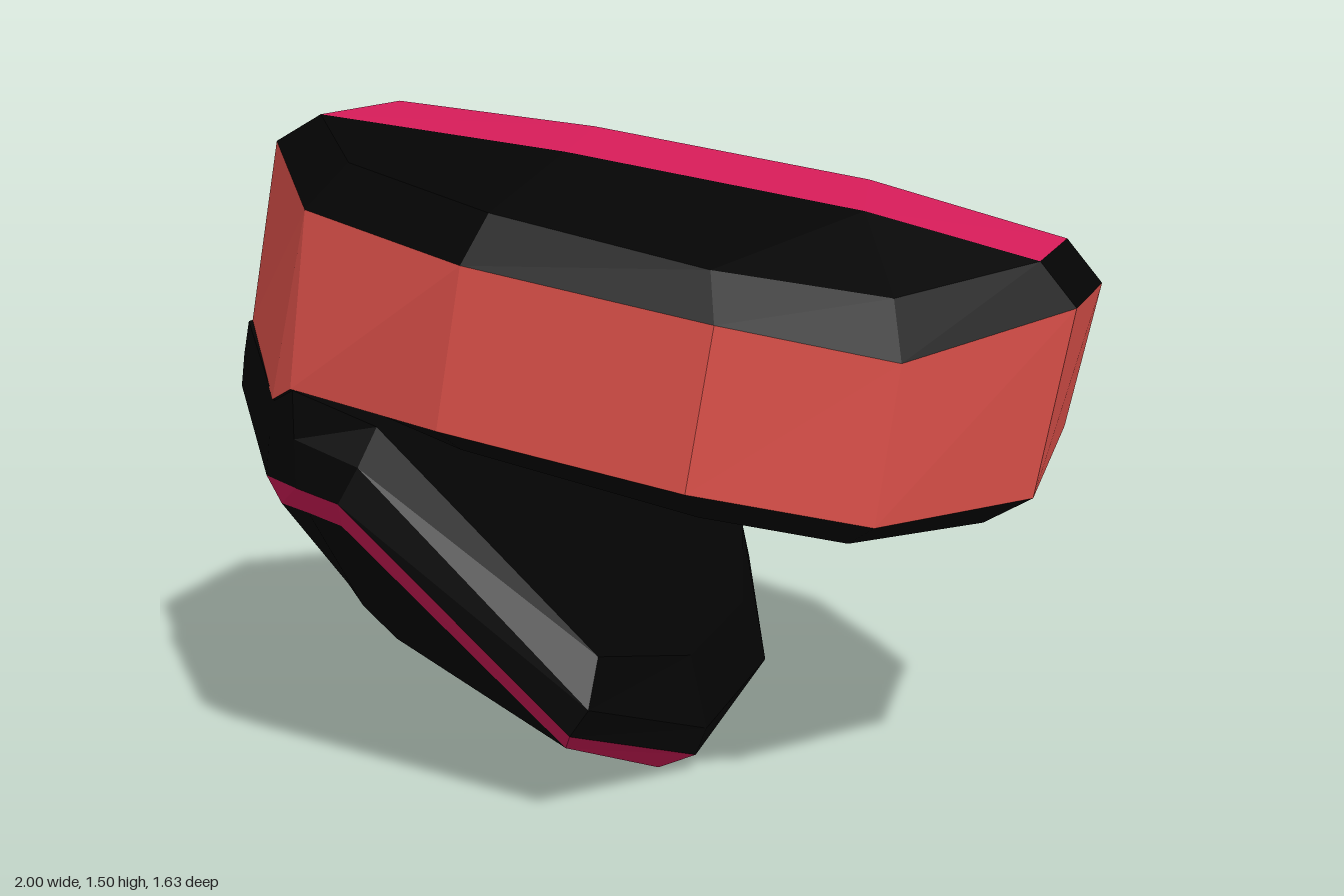
import * as THREE from 'three';

const material = (name, color) =>
  new THREE.MeshStandardMaterial({ name, color, flatShading: true });

// Close a half outline (left to right, z positive) by mirroring it in z.
const mirrorZ = (half) => half.map(([x, y, z]) => [x, y, -z]);
const ring = (half, back = mirrorZ(half)) => [...half, ...[...back].reverse()];

// Quads between two outlines, a below b, running anticlockwise seen from above.
function strip(a, b, closed = true) {
  const quads = [];
  const n = closed ? a.length : a.length - 1;
  for (let i = 0; i < n; i++) {
    const j = (i + 1) % a.length;
    quads.push([a[i], a[j], b[j], b[i]]);
  }
  return quads;
}

// Flat-shaded mesh from quads, dropping collapsed triangles.
function facets(name, mat, quads) {
  const pos = [];
  for (const q of quads) {
    for (const ids of [[0, 1, 2], [0, 2, 3]]) {
      const t = new THREE.Triangle(...ids.map((k) => new THREE.Vector3(...q[k])));
      if (t.getArea() > 1e-6) ids.forEach((k) => pos.push(...q[k]));
    }
  }
  const geo = new THREE.BufferGeometry();
  geo.setAttribute('position', new THREE.Float32BufferAttribute(pos, 3));
  geo.computeVertexNormals();
  const mesh = new THREE.Mesh(geo, mat);
  mesh.name = name;
  return mesh;
}

export function createModel() {
  const black = material('black', 0x040404);
  const coral = material('coral', 0xe2534c);
  const pink = material('pink', 0xd41c58);
  const model = new THREE.Group();
  model.name = 'hingedDisc';

  // Tilted upper disc, its back half slightly uneven
  const upper = ring(
    [[-0.89, 1.43, 0.23], [-0.65, 1.31, 0.59], [-0.65, 1.31, 0.59], [-0.2, 1.23, 0.81],
      [0.34, 1.13, 0.81], [0.68, 1.035, 0.6], [0.99, 1.11, 0.23]],
    [[-0.89, 1.43, -0.27], [-0.64, 1.315, -0.61], [-0.64, 1.315, -0.61], [-0.18, 1.22, -0.82],
      [0.38, 1.12, -0.81], [0.71, 1.03, -0.59], [1, 1.11, -0.2]]);
  const lower = ring(
    [[-0.97, 1, 0.23], [-0.75, 0.88, 0.58], [-0.67, 0.92, 0.65], [-0.26, 0.88, 0.81],
      [0.28, 0.78, 0.81], [0.63, 0.685, 0.6], [0.91, 0.685, 0.23]],
    [[-0.97, 1, -0.27], [-0.74, 0.88, -0.6], [-0.65, 0.92, -0.68], [-0.23, 0.875, -0.82],
      [0.31, 0.775, -0.81], [0.66, 0.68, -0.58], [0.925, 0.765, -0.2]]);
  const topFront = [[-0.77, 1.495, 0.24], [-0.57, 1.41, 0.53], [-0.57, 1.41, 0.53], [-0.17, 1.33, 0.72],
    [0.31, 1.23, 0.73], [0.65, 1.16, 0.54], [0.91, 1.21, 0.24]];
  const topBack = [[-0.785, 1.5, -0.26], [-0.57, 1.41, -0.53], [-0.57, 1.41, -0.53], [-0.17, 1.32, -0.73],
    [0.38, 1.225, -0.73], [0.65, 1.16, -0.54], [0.915, 1.21, -0.21]];
  const baseHalf = [[-0.85, 0.9, 0.2], [-0.6, 0.86, 0.5], [-0.55, 0.86, 0.52], [-0.25, 0.82, 0.7],
    [0.28, 0.71, 0.71], [0.56, 0.63, 0.53], [0.8, 0.62, 0.22]];

  // Crooked stripe across the top, its ends on the top outline
  const stripeFront = [topFront[0], [-0.13, 1.43, 0.35], [0.53, 1.31, 0.27], topFront[6]];
  const stripeBack = [topBack[0], [-0.24, 1.45, -0.19], [0.43, 1.33, -0.27], topBack[6]];
  const spread = (e) => [0, 0, 1, 1, 2, 2, 3].map((i) => e[i]);

  const disc = new THREE.Group();
  disc.name = 'disc';
  disc.add(
    facets('discBand', coral, strip(lower, upper)),
    facets('discTop', black, [
      ...strip(upper, ring(topFront, topBack)),
      ...strip(topFront, spread(stripeFront), false),
      ...strip(spread(stripeBack), topBack, false),
    ]),
    facets('topStripe', pink, strip(stripeFront, stripeBack, false)),
    facets('discUnderside', black, [
      ...strip(ring(baseHalf), lower),
      ...strip(mirrorZ(baseHalf), baseHalf, false),
    ]),
  );

  // Slanted lower flap, joined to the disc at the left
  const flapTop = [[-0.97, 1, 0.25], [-0.74, 0.88, 0.59], [-0.66, 0.92, 0.66], [-0.47, 0.845, 0.64],
    [0.03, 0.36, 0.62], [0.13, 0.26, 0.24]];
  const sideFront = [[-0.985, 0.92, 0.25], [-0.75, 0.8, 0.6], [-0.66, 0.81, 0.66], [-0.5, 0.76, 0.68],
    [0.03, 0.26, 0.69], [0.18, 0.1, 0.28]];
  const flapSide = ring(sideFront);

  // Trim running round the flap's edge, lower along the back
  const trimTop = ring(
    [[-1, 0.84, 0.24], [-0.76, 0.71, 0.6], [-0.66, 0.7, 0.66], [-0.54, 0.68, 0.7],
      [-0.01, 0.2, 0.7], [0.16, 0.04, 0.3]],
    [[-1, 0.84, -0.26], [-0.76, 0.71, -0.6], [-0.66, 0.7, -0.66], [-0.54, 0.68, -0.7],
      [-0.01, 0.2, -0.7], [0.15, 0.055, -0.22]]);
  const trimBase = ring(
    [[-0.95, 0.68, 0.24], [-0.74, 0.64, 0.57], [-0.66, 0.63, 0.6], [-0.57, 0.61, 0.62],
      [-0.05, 0.14, 0.61], [0.07, 0, 0.3]],
    [[-0.95, 0.68, -0.24], [-0.68, 0.61, -0.57], [-0.64, 0.585, -0.58], [-0.56, 0.525, -0.58],
      [-0.05, 0.125, -0.58], [0.07, 0.015, -0.22]]);

  // The flap's bottom face is one sloping plane
  const flapBase = [[-0.74, 0.25], [-0.66, 0.4], [-0.6, 0.45], [-0.5, 0.49], [-0.1, 0.42], [0.02, 0.12]]
    .map(([x, z]) => [x, 0.46 - 0.592 * (x + 0.74), z]);

  const flap = new THREE.Group();
  flap.name = 'flap';
  flap.add(
    facets('flapUpperShell', black, [
      ...strip(trimTop, flapSide),
      ...strip(flapSide, ring(flapTop)),
      ...strip(flapTop, mirrorZ(flapTop), false),
    ]),
    facets('flapTrim', pink, strip(trimBase, trimTop)),
    facets('flapLowerShell', black, [
      ...strip(ring(flapBase), trimBase),
      ...strip(mirrorZ(flapBase), flapBase, false),
    ]),
  );

  model.add(disc, flap);
  return model;
}
